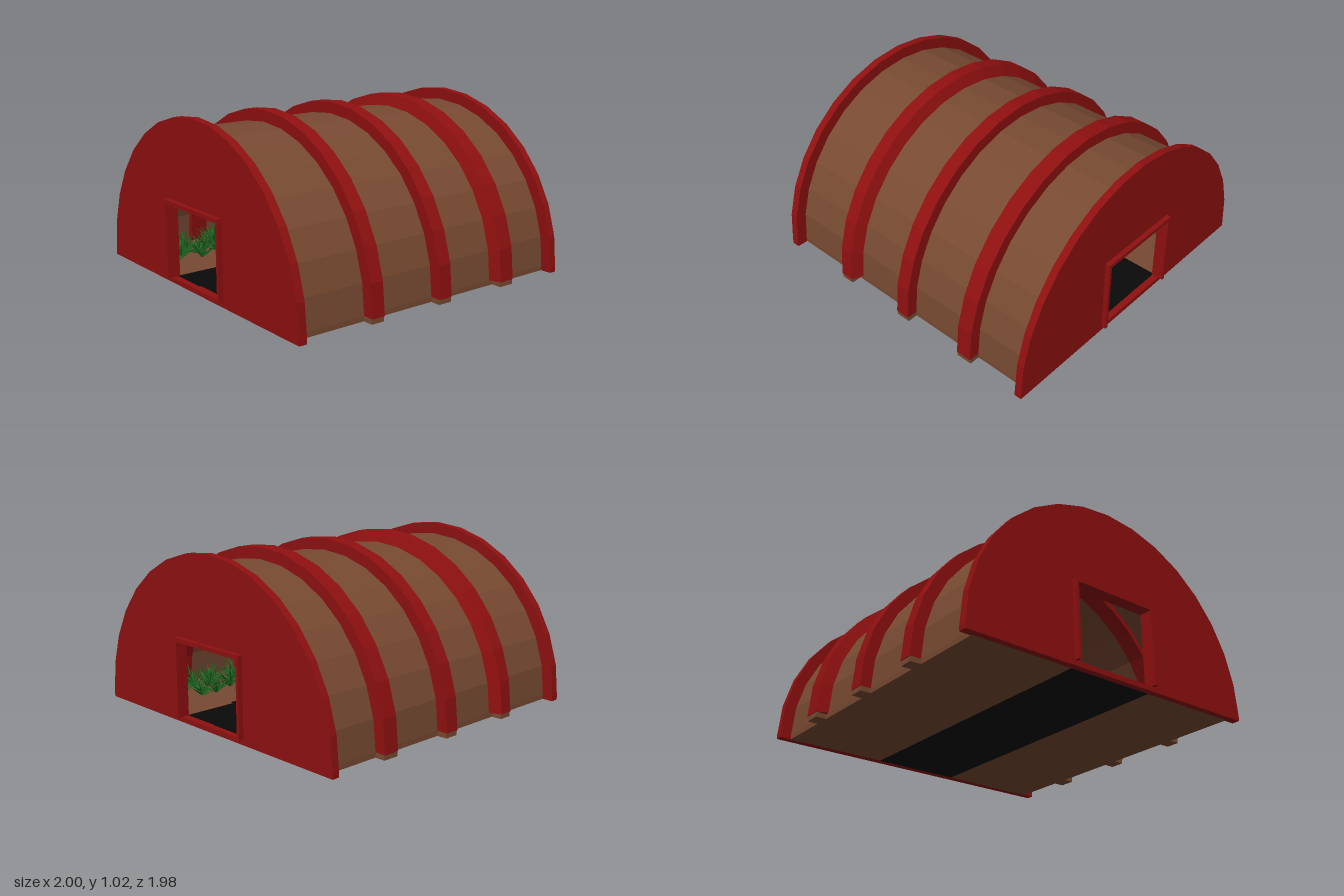
import * as THREE from 'three';
import { mergeGeometries } from 'three/addons/utils/BufferGeometryUtils.js';

const SEGMENTS = 16;
const BASE = 0.03; // floor thickness, also the springing height of the arches

const mat = (color, side = THREE.FrontSide) =>
  new THREE.MeshStandardMaterial({ color, flatShading: true, side });

// Sweeps a convex counter-clockwise (x, radius) section over a half circle.
function archGeometry(section) {
  const pos = [];
  const n = section.length;
  const point = (i, s) => {
    const t = (Math.PI * s) / SEGMENTS;
    const [x, r] = section[i % n];
    return [x, BASE + r * Math.sin(t), r * Math.cos(t)];
  };
  for (let s = 0; s < SEGMENTS; s++) {
    for (let i = 0; i < n; i++) {
      const a = point(i, s), b = point(i + 1, s);
      const c = point(i, s + 1), d = point(i + 1, s + 1);
      pos.push(...a, ...c, ...b, ...b, ...c, ...d);
    }
  }
  for (let i = 1; i < n - 1; i++) {
    pos.push(...point(0, 0), ...point(i, 0), ...point(i + 1, 0));
    pos.push(...point(0, SEGMENTS), ...point(i + 1, SEGMENTS), ...point(i, SEGMENTS));
  }
  const g = new THREE.BufferGeometry();
  g.setAttribute('position', new THREE.Float32BufferAttribute(pos, 3));
  g.computeVertexNormals();
  return g;
}

const rectangle = (z, y0, y1, Type) => new Type([
  new THREE.Vector2(-z, y0), new THREE.Vector2(z, y0),
  new THREE.Vector2(z, y1), new THREE.Vector2(-z, y1),
]);

// Extrudes a (z, y) outline along x between x0 and x1.
function plate(shape, x0, x1) {
  return new THREE.ExtrudeGeometry(shape, { depth: x1 - x0, bevelEnabled: false })
    .rotateY(Math.PI / 2).translate(x0, 0, 0);
}

function box(x0, x1, y0, y1, z0, z1) {
  return new THREE.BoxGeometry(x1 - x0, y1 - y0, z1 - z0)
    .translate((x0 + x1) / 2, (y0 + y1) / 2, (z0 + z1) / 2);
}

// Low tangle of thin leaves along one side wall.
function plantRow(side) {
  let seed = 17 + side * 5;
  const rand = () => (seed = (seed * 16807) % 2147483647) / 2147483647;
  const leaves = [];
  for (let p = 0; p < 34; p++) {
    const x = -0.82 + (p / 33) * 1.64;
    const z = side * (0.5 + 0.24 * rand());
    for (let i = 0; i < 22; i++) {
      const length = 0.08 + 0.08 * rand();
      const leaf = new THREE.ConeGeometry(0.009, length, 3).translate(0, length / 2, 0);
      leaf.rotateZ(0.2 + 1.1 * rand()).rotateY(rand() * Math.PI * 2);
      leaf.translate(x, BASE + 0.03 * rand(), z);
      leaves.push(leaf);
    }
  }
  return mergeGeometries(leaves);
}

export function createModel() {
  const model = new THREE.Group();
  const red = mat(0x8f1010);
  const brown = mat(0x784a32);
  const black = mat(0x0a0a0a);
  const green = mat(0x1f6420, THREE.DoubleSide);
  const add = (name, geometry, material) => {
    const mesh = new THREE.Mesh(geometry, material);
    mesh.name = name;
    model.add(mesh);
  };

  // Vaulted roof
  add('roofShell', archGeometry([[-0.93, 0.9], [0.93, 0.9], [0.93, 0.92], [-0.93, 0.92]]), brown);

  // Ribs: foot span, then crown span (a narrower crown gives the sloping face)
  const ribs = [
    [-0.49, -0.375, -0.49, -0.405],
    [0, 0.09, 0, 0.09],
    [0.465, 0.59, 0.49, 0.59],
  ];
  for (const [f0, f1, c0, c1] of ribs) {
    add('rib', archGeometry([[f0, 0.87], [f1, 0.87], [f1, 0.92], [c1, 0.99], [c0, 0.99], [f0, 0.92]]), red);
    for (const s of [-1, 1]) {
      add('ribFoot', box(c0, c1, 0, BASE, s > 0 ? 0.9 : -0.985, s > 0 ? 0.985 : -0.9), brown);
    }
    add('pathJoint', box(c0, c1, 0.001, BASE + 0.002, -0.3, 0.3), black);
  }

  // Floor with a dark path down the middle
  add('floorLeft', box(-0.93, 0.93, 0, BASE, 0.28, 0.92), brown);
  add('floorRight', box(-0.93, 0.93, 0, BASE, -0.92, -0.28), brown);
  add('path', box(-0.93, 0.93, 0, BASE, -0.28, 0.28), black);

  // End walls with door openings
  const outline = [new THREE.Vector2(0.99, 0)];
  for (let i = 0; i <= SEGMENTS; i++) {
    const t = (Math.PI * i) / SEGMENTS;
    outline.push(new THREE.Vector2(0.99 * Math.cos(t), BASE + 0.99 * Math.sin(t)));
  }
  outline.push(new THREE.Vector2(-0.99, 0));
  const wall = new THREE.Shape(outline);
  wall.holes.push(rectangle(0.27, BASE, 0.485, THREE.Path));
  add('endWall', plate(wall, 0.925, 0.97), red);
  add('endWall', plate(wall, -0.97, -0.92), red);

  // Door frames: two jambs and a lintel, standing proud of each wall
  for (const s of [-1, 1]) {
    const x0 = s > 0 ? 0.96 : -1, x1 = s > 0 ? 1 : -0.96;
    add('doorLintel', box(x0, x1, 0.485, 0.51, -0.29, 0.29), red);
    add('doorJamb', box(x0, x1, BASE, 0.485, 0.27, 0.29), red);
    add('doorJamb', box(x0, x1, BASE, 0.485, -0.29, -0.27), red);
  }

  // Plants along both sides
  add('plantsLeft', plantRow(1), green);
  add('plantsRight', plantRow(-1), green);

  return model;
}
